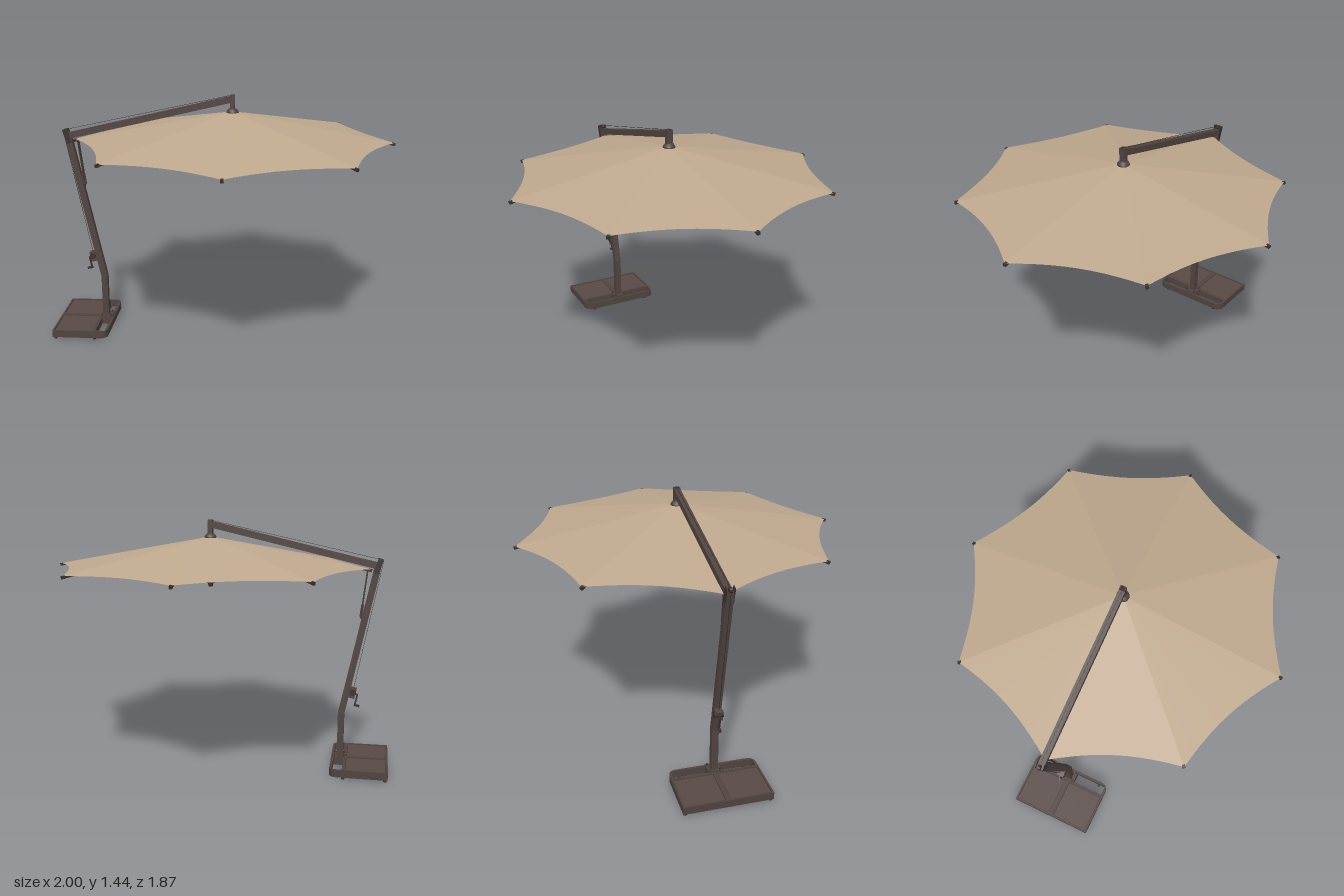
import * as THREE from 'three';

const mat = (name, color, side = THREE.FrontSide) => {
  const m = new THREE.MeshStandardMaterial({ color, side });
  m.name = name;
  return m;
};

export function createModel() {
  const root = new THREE.Group();
  root.name = 'cantileverParasol';
  const fabric = mat('tan fabric', 0xbea78d, THREE.DoubleSide);
  const frame = mat('bronze frame', 0x50433f);
  const panel = mat('base panels', 0x584a46);
  const dark = mat('dark fittings', 0x3b312e);
  const cableMat = mat('cable', 0x2c2624);

  const add = (parent, name, geo, material, x = 0, y = 0, z = 0) => {
    const m = new THREE.Mesh(geo, material);
    m.name = name;
    m.position.set(x, y, z);
    parent.add(m);
    return m;
  };
  const box = (parent, name, material, w, h, d, x, y, z) =>
    add(parent, name, new THREE.BoxGeometry(w, h, d), material, x, y, z);
  // Rectangular bar between two points of the XY plane
  const bar = (parent, name, material, [x1, y1], [x2, y2], h, d, z = 0) => {
    const m = box(parent, name, material, Math.hypot(x2 - x1, y2 - y1), h, d, (x1 + x2) / 2, (y1 + y2) / 2, z);
    m.rotation.z = Math.atan2(y2 - y1, x2 - x1);
    return m;
  };
  const cyl = (parent, name, material, r1, r2, h, x, y, z = 0) =>
    add(parent, name, new THREE.CylinderGeometry(r1, r2, h, 20), material, x, y, z);

  // ---- Base: tray with an open, round-cornered front loop
  const base = new THREE.Group();
  base.name = 'base';
  root.add(base);
  const outline = new THREE.Shape();
  outline.moveTo(-1, -0.25);
  outline.lineTo(-0.72, -0.25);
  outline.quadraticCurveTo(-0.67, -0.25, -0.67, -0.2);
  outline.lineTo(-0.67, 0.2);
  outline.quadraticCurveTo(-0.67, 0.25, -0.72, 0.25);
  outline.lineTo(-1, 0.25);
  outline.closePath();
  for (const s of [-1, 1]) {
    const rect = (x1, x2, z1, z2) => {
      const p = new THREE.Path();
      p.moveTo(x1, s * z1);
      p.lineTo(x2, s * z1);
      p.lineTo(x2, s * z2);
      p.lineTo(x1, s * z2);
      p.closePath();
      outline.holes.push(p);
    };
    rect(-0.99, -0.76, 0.015, 0.24);
    rect(-0.742, -0.685, 0.04, 0.235);
  }
  const trayGeo = new THREE.ExtrudeGeometry(outline, { depth: 0.043, bevelEnabled: false, curveSegments: 8 });
  trayGeo.rotateX(-Math.PI / 2);
  add(base, 'baseFrame', trayGeo, frame, 0, 0.012, 0);
  for (const s of [-1, 1]) {
    box(base, 'basePanel', panel, 0.226, 0.035, 0.221, -0.875, 0.033, s * 0.1275);
    for (const x of [-0.985, -0.75, -0.685]) cyl(base, 'foot', dark, 0.009, 0.009, 0.014, x, 0.007, s * (x > -0.7 ? 0.19 : 0.236));
  }
  box(base, 'mastPlate', frame, 0.075, 0.012, 0.08, -0.715, 0.06, 0);
  for (const x of [-0.744, -0.688]) for (const z of [-0.03, 0.03]) cyl(base, 'bolt', dark, 0.005, 0.005, 0.01, x, 0.07, z);

  // ---- Mast: bent square tube cut as one mitred profile
  const mastShape = new THREE.Shape([
    [-0.739, 0.055], [-0.702, 0.055], [-0.702, 0.322], [-0.884, 1.195], [-0.922, 1.195], [-0.739, 0.318],
  ].map(([x, y]) => new THREE.Vector2(x, y)));
  const mastGeo = new THREE.ExtrudeGeometry(mastShape, { depth: 0.038, bevelEnabled: false });
  add(root, 'mast', mastGeo, frame, 0, 0, -0.019);

  // ---- Boom, its elbow bracket and the end post
  const C = 0.065;
  bar(root, 'boom', frame, [-0.915, 1.19], [C, 1.418], 0.036, 0.036);
  for (const s of [-1, 1]) bar(root, 'elbowPlate', dark, [-0.918, 1.232], [-0.893, 1.15], 0.03, 0.004, s * 0.021);
  const pulley = cyl(root, 'pulley', dark, 0.014, 0.014, 0.016, -0.918, 1.22);
  pulley.rotation.x = Math.PI / 2;
  box(root, 'endPost', frame, 0.026, 0.085, 0.036, C, 1.398, 0);
  const cap = cyl(root, 'endPostCap', dark, 0.018, 0.018, 0.025, C, 1.426);
  cap.rotation.z = Math.PI / 2;

  // ---- Lifting cable
  bar(root, 'boomCable', cableMat, [-0.925, 1.228], [C, 1.441], 0.002, 0.002);
  bar(root, 'mastCable', cableMat, [-0.932, 1.22], [-0.79, 0.48], 0.002, 0.002);

  // ---- Crank
  const crank = new THREE.Group();
  crank.name = 'crank';
  root.add(crank);
  bar(crank, 'gearBox', frame, [-0.785, 0.478], [-0.772, 0.42], 0.045, 0.042);
  const drum = cyl(crank, 'crankDrum', dark, 0.018, 0.018, 0.05, -0.785, 0.452);
  drum.rotation.x = Math.PI / 2;
  bar(crank, 'crankShaft', dark, [-0.815, 0.436], [-0.775, 0.445], 0.009, 0.009);
  bar(crank, 'crankArm', dark, [-0.812, 0.438], [-0.797, 0.372], 0.009, 0.009);
  bar(crank, 'crankGrip', dark, [-0.825, 0.367], [-0.793, 0.374], 0.012, 0.012);

  // ---- Tilt link between mast and canopy rim
  for (const s of [-1, 1]) bar(root, 'tiltLink', dark, [-0.845, 1.165], [-0.816, 0.91], 0.009, 0.006, s * 0.009);
  bar(root, 'tiltSlider', frame, [-0.824, 0.97], [-0.815, 0.9], 0.016, 0.02);
  bar(root, 'tiltBracket', dark, [-0.845, 0.9], [-0.813, 0.895], 0.016, 0.024);

  // ---- Canopy: eight flat panels with edges curving inwards
  const R = 0.93, APEX = 1.347, RIM = 1.174, STEPS = 10;
  const corner = (i) => {
    const a = (i * Math.PI) / 4;
    return new THREE.Vector3(Math.cos(a) * R, RIM, -Math.sin(a) * R);
  };
  const top = new THREE.Vector3(0, APEX, 0);
  const pos = [];
  for (let i = 0; i < 8; i++) {
    const edge = (t) => corner(i).lerp(corner(i + 1), t).lerp(top, 0.048 * 4 * t * (1 - t));
    for (let j = 0; j < STEPS; j++)
      for (const p of [top, edge(j / STEPS), edge((j + 1) / STEPS)]) pos.push(p.x, p.y, p.z);
  }
  const canopyGeo = new THREE.BufferGeometry();
  canopyGeo.setAttribute('position', new THREE.Float32BufferAttribute(pos, 3));
  canopyGeo.computeVertexNormals();
  add(root, 'canopy', canopyGeo, fabric, C, 0, 0);

  // ---- Ribs and their struts
  for (let i = 0; i < 8; i++) {
    const arm = new THREE.Group();
    arm.name = 'ribAssembly';
    arm.position.x = C;
    arm.rotation.y = (i * Math.PI) / 4;
    root.add(arm);
    bar(arm, 'rib', dark, [0.015, 1.334], [0.925, 1.166], 0.013, 0.012);
    bar(arm, 'ribTip', dark, [0.915, 1.169], [0.935, 1.165], 0.016, 0.015);
    bar(arm, 'strut', dark, [0.025, 1.085], [0.42, 1.256], 0.012, 0.012);
    box(arm, 'strutJoint', dark, 0.025, 0.018, 0.018, 0.42, 1.254, 0);
  }

  // ---- Centre pole with hubs, crown cap and finial
  cyl(root, 'centrePole', frame, 0.014, 0.014, 0.27, C, 1.205);
  cyl(root, 'upperHub', dark, 0.034, 0.034, 0.025, C, 1.318);
  cyl(root, 'poleCollar', dark, 0.02, 0.02, 0.05, C, 1.145);
  cyl(root, 'lowerHub', dark, 0.034, 0.026, 0.024, C, 1.088);
  cyl(root, 'finial', dark, 0.018, 0.012, 0.026, C, 1.067);
  const crown = [[0, 1.335], [0.036, 1.337], [0.035, 1.348], [0.026, 1.36], [0.014, 1.366], [0, 1.366]];
  add(root, 'crownCap', new THREE.LatheGeometry(crown.map(([r, y]) => new THREE.Vector2(r, y)), 24), frame, C, 0, 0);

  return root;
}
